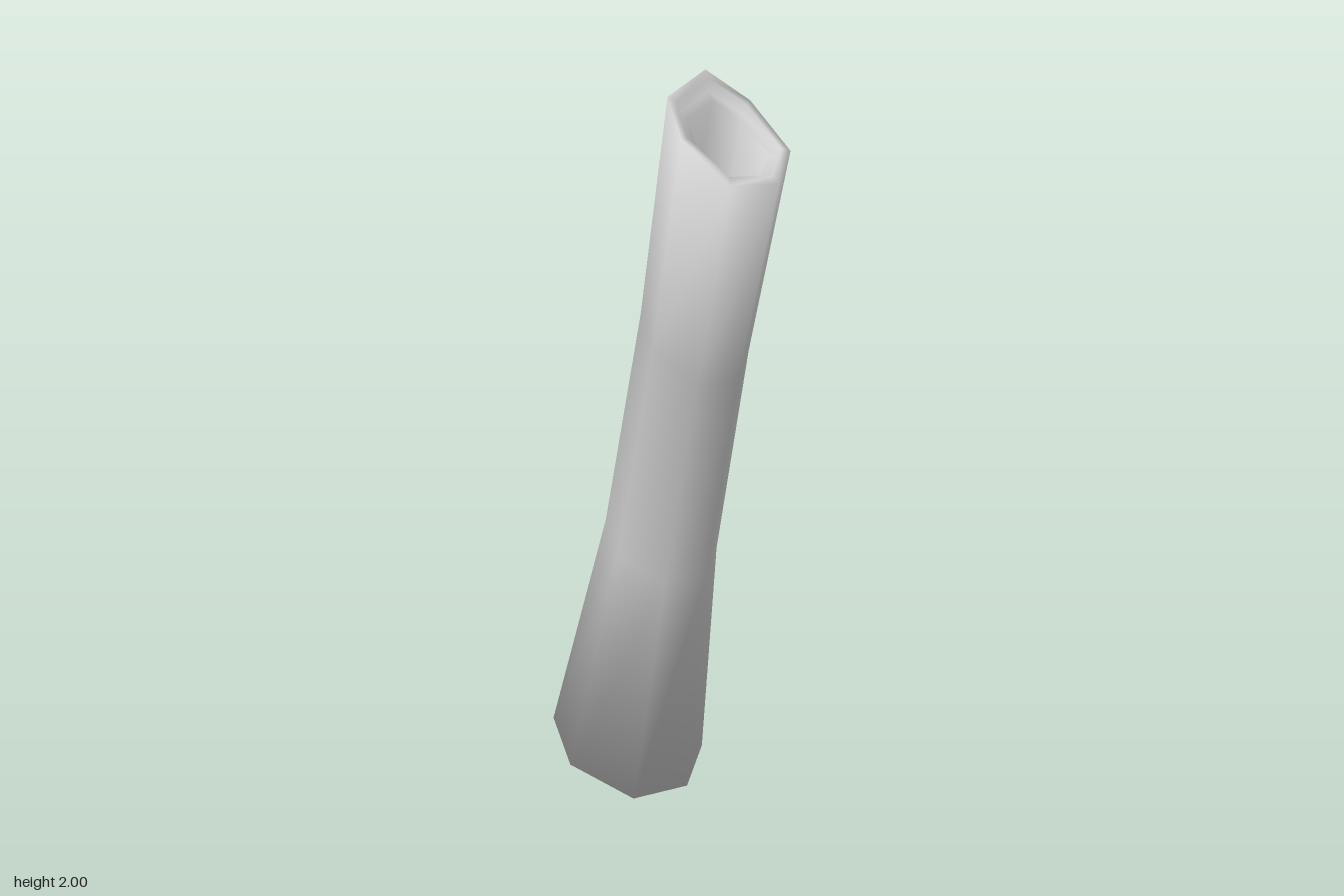
import * as THREE from 'three';

// Jagged seven-sided end rings, matched corner by corner
const TOP = [[-0.2, 1.89, 0.29], [-0.145, 1.79, 0.43], [-0.015, 1.78, 0.46], [0.095, 1.82, 0.36],
  [0.095, 1.91, 0.185], [-0.01, 2.0, 0.135], [-0.13, 1.95, 0.135]].map(p => new THREE.Vector3(...p));
const BOTTOM = [[-0.16, 0.055, -0.245], [-0.095, 0, -0.06], [0.06, 0.01, -0.04], [0.195, 0.06, -0.16],
  [0.2, 0.11, -0.35], [0.08, 0.14, -0.465], [-0.085, 0.12, -0.42]].map(p => new THREE.Vector3(...p));
const N = TOP.length;

const centre = ring => ring.reduce((s, p) => s.add(p), new THREE.Vector3()).divideScalar(ring.length);
const AXIS = centre(TOP).sub(centre(BOTTOM)).normalize();

// Ring at t (0 bottom, 1 top), scaled about its centre and shifted along the axis
function ringAt(t, scale, shift = 0) {
  const ring = BOTTOM.map((p, i) => p.clone().lerp(TOP[i], t));
  const c = centre(ring);
  return ring.map(p => p.sub(c).multiplyScalar(scale).add(c).addScaledVector(AXIS, shift));
}

// Closed loft through the rings; every face counts equally in the smooth normals
function loft(rings) {
  const points = rings.flat();
  const normals = points.map(() => new THREE.Vector3());
  const index = [];
  const tri = new THREE.Triangle();
  const n = new THREE.Vector3();
  const face = (...ids) => {
    index.push(...ids);
    tri.set(...ids.map(i => points[i])).getNormal(n);
    ids.forEach(i => normals[i].add(n));
  };
  for (let r = 0; r < rings.length; r++) {
    const s = (r + 1) % rings.length;
    for (let i = 0; i < N; i++) {
      const j = (i + 1) % N;
      face(r * N + i, r * N + j, s * N + j);
      face(r * N + i, s * N + j, s * N + i);
    }
  }
  const flat = list => new THREE.Float32BufferAttribute(list.flatMap(v => v.toArray()), 3);
  const geometry = new THREE.BufferGeometry();
  geometry.setAttribute('position', flat(points));
  geometry.setAttribute('normal', flat(normals.map(v => v.normalize())));
  geometry.setIndex(index);
  return geometry;
}

export function createModel() {
  const group = new THREE.Group();
  group.name = 'hollowLog';
  const rings = [
    // waisted outer wall
    ringAt(0, 1), ringAt(0.33, 0.79), ringAt(0.66, 0.82), ringAt(1, 1),
    // top rim, recessed step and mouth of the hollow
    ringAt(1, 0.85), ringAt(1, 0.8, -0.03), ringAt(1, 0.65, -0.03),
    // inner wall
    ringAt(0.66, 0.53), ringAt(0.33, 0.51),
    // bottom mouth, recessed step and rim
    ringAt(0, 0.65, 0.03), ringAt(0, 0.8, 0.03), ringAt(0, 0.85),
  ];
  const shell = new THREE.Mesh(loft(rings), new THREE.MeshStandardMaterial({ color: 0xcccccc }));
  shell.name = 'hollowTrunk';
  group.add(shell);
  return group;
}
